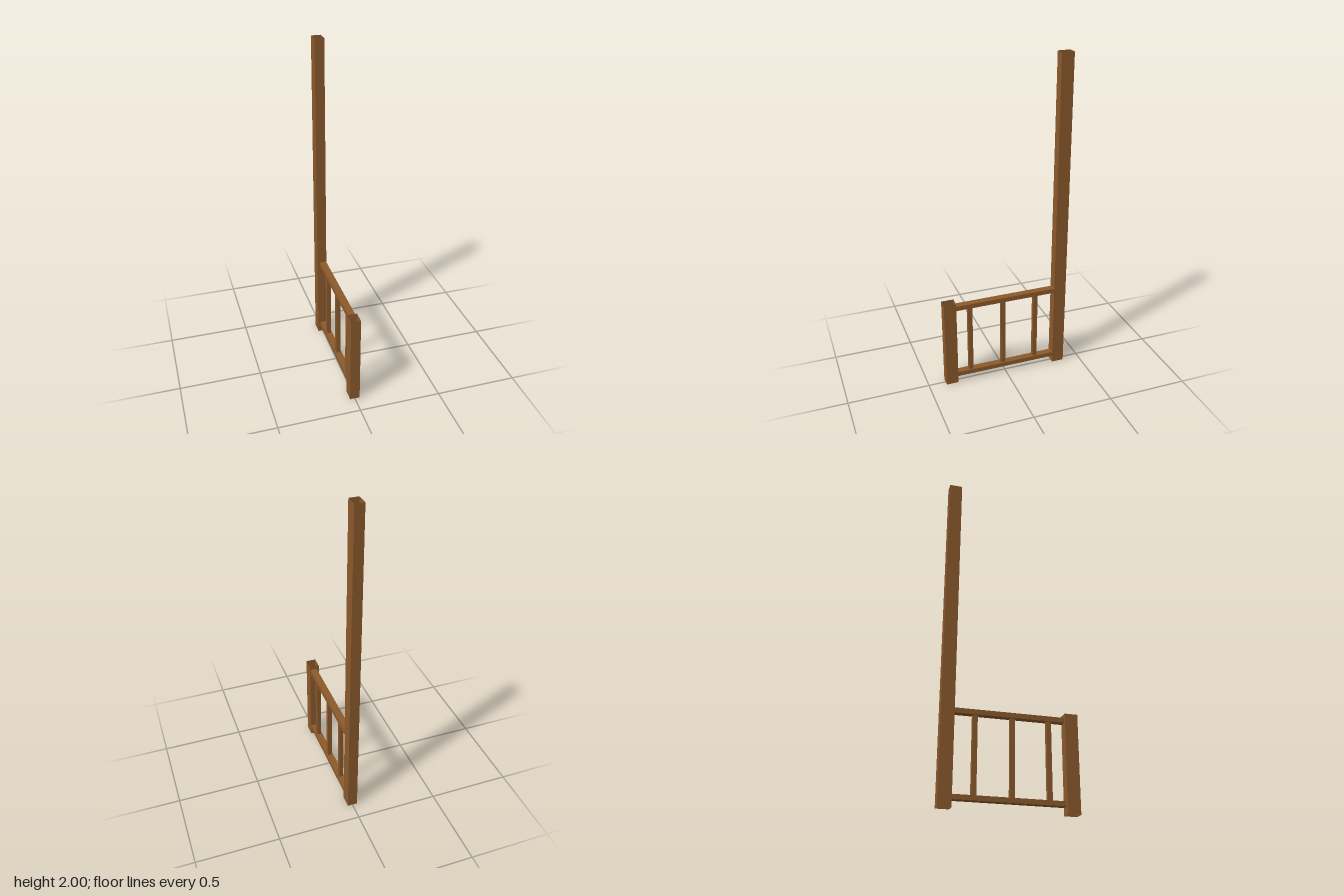
import * as THREE from 'three';

const wood = new THREE.MeshStandardMaterial({ color: 0x8b5a2b, side: THREE.DoubleSide });
wood.name = 'brown wood';

const POST_X = 0.03;      // half width of a post
const POST_Z = 0.038;     // half depth of a post
const RAIL_X = 0.0065;    // the rails sit slightly off centre

// Hollow square post, open at both ends; lean pulls in the top of its left side
function post(name, height, z, lean = 0) {
  const geo = new THREE.CylinderGeometry(Math.SQRT2, Math.SQRT2, height, 4, 1, true)
    .rotateY(Math.PI / 4)
    .scale(POST_X, 1, POST_Z)
    .translate(0, height / 2, z)
    .toNonIndexed();
  const p = geo.attributes.position;
  for (let i = 0; i < p.count; i++) {
    if (p.getX(i) > 0 && p.getY(i) > height / 2) p.setX(i, POST_X - lean);
  }
  geo.computeVertexNormals();
  const mesh = new THREE.Mesh(geo, wood);
  mesh.name = name;
  return mesh;
}

// Solid bar given by its size and centre
function bar(name, sx, sy, sz, y, z) {
  const mesh = new THREE.Mesh(new THREE.BoxGeometry(sx, sy, sz), wood);
  mesh.position.set(RAIL_X, y, z);
  mesh.name = name;
  return mesh;
}

export function createModel() {
  const group = new THREE.Group();
  group.name = 'railing';

  // Posts
  group.add(post('frontPost', 0.565, 0.355));
  group.add(post('backPost', 2, -0.355, 0.003));

  // Horizontal rails
  group.add(bar('topRail', 0.042, 0.029, 0.678, 0.53, -0.018));
  group.add(bar('bottomRail', 0.042, 0.028, 0.678, 0.058, -0.018));

  // Upright balusters between the rails
  [0.228, 0.016, -0.196].forEach((z, i) => {
    group.add(bar(`baluster${i + 1}`, 0.026, 0.444, 0.028, 0.294, z));
  });

  return group;
}
